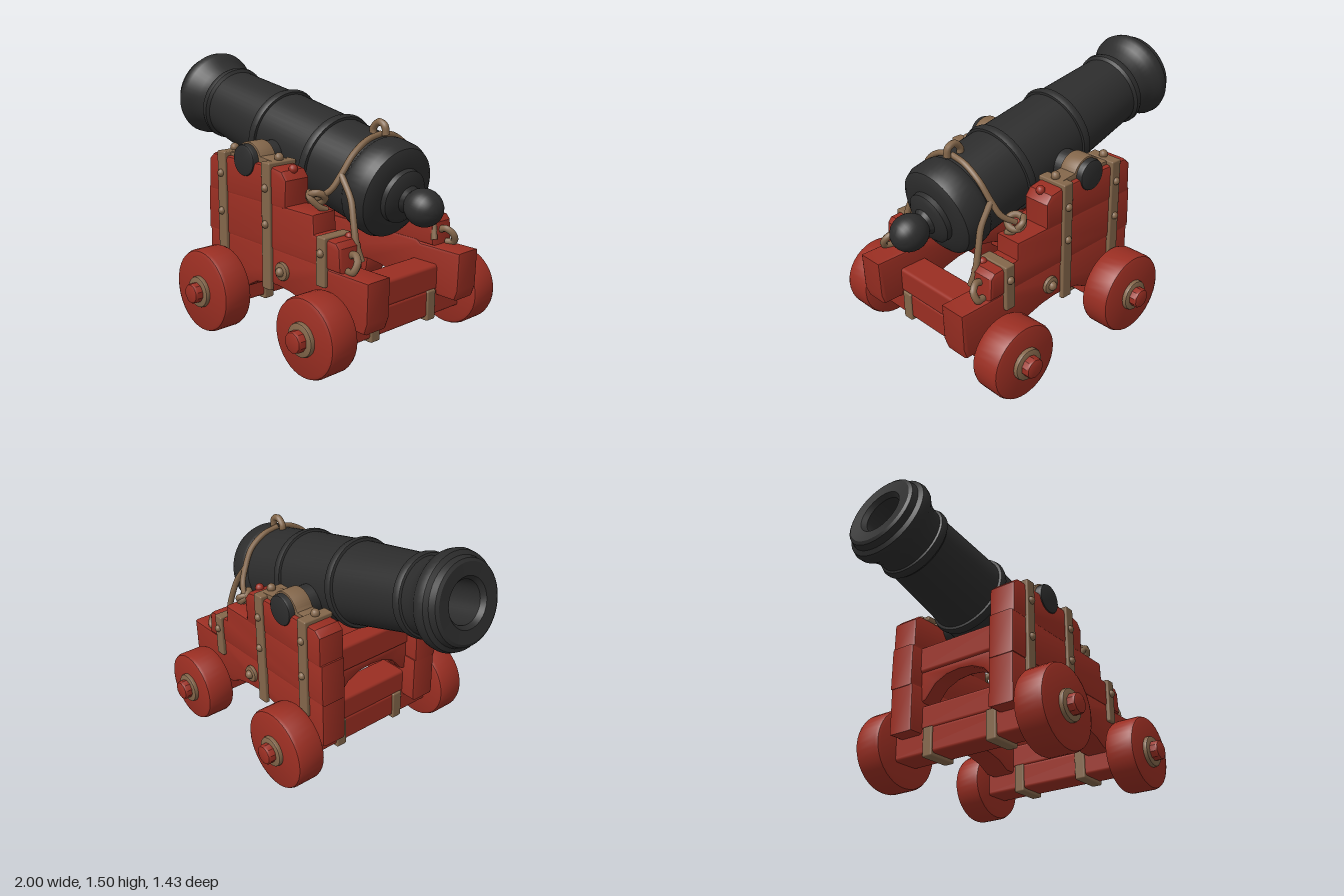
import * as THREE from 'three';
import { toCreasedNormals } from 'three/addons/utils/BufferGeometryUtils.js';
import { RoundedBoxGeometry } from 'three/addons/geometries/RoundedBoxGeometry.js';

const V = (x, y, z) => new THREE.Vector3(x, y, z);

export function createModel() {
  const root = new THREE.Group();
  root.name = 'cannon';
  const iron = new THREE.MeshStandardMaterial({ name: 'black iron', color: 0x2c2c2c });
  const wood = new THREE.MeshStandardMaterial({ name: 'red painted wood', color: 0x9a2e22 });
  const brass = new THREE.MeshStandardMaterial({ name: 'brown fittings and rope', color: 0x83664a });

  const add = (name, geo, mat, x = 0, y = 0, z = 0) => {
    const mesh = new THREE.Mesh(geo, mat);
    mesh.name = name;
    mesh.position.set(x, y, z);
    root.add(mesh);
    return mesh;
  };
  // Box given by its limits, with softened edges
  const box = (name, mat, x0, x1, y0, y1, z0, z1, r = 0.018) => {
    const size = [x1 - x0, y1 - y0, Math.abs(z1 - z0)];
    const geo = new RoundedBoxGeometry(...size, 2, Math.min(r, Math.min(...size) * 0.45));
    return add(name, geo, mat, (x0 + x1) / 2, (y0 + y1) / 2, (z0 + z1) / 2);
  };
  const lathe = (pts, seg = 40) =>
    toCreasedNormals(new THREE.LatheGeometry(pts.map(p => new THREE.Vector2(...p)), seg), 0.6);
  // Disc along z with chamfered rims
  const disc = (name, mat, r, depth, x, y, z, c = 0.02, seg = 32) => {
    const h = depth / 2;
    const geo = lathe([[0, -h], [r - c, -h], [r - c * 0.3, -h + c * 0.3], [r, -h + c],
      [r, h - c], [r - c * 0.3, h - c * 0.3], [r - c, h], [0, h]], seg);
    geo.rotateX(Math.PI / 2);
    return add(name, geo, mat, x, y, z);
  };
  // Outline in x and y, thickened along z about its centre
  const slab = (name, mat, shape, depth, z, bevel = 0.018) => {
    const geo = new THREE.ExtrudeGeometry(shape, {
      depth: depth - 2 * bevel, bevelEnabled: true, bevelThickness: bevel, bevelSize: bevel,
      bevelOffset: -bevel, bevelSegments: 2, curveSegments: 20 });
    geo.translate(0, 0, -depth / 2 + bevel);
    return add(name, toCreasedNormals(geo, 0.6), mat, 0, 0, z);
  };
  const outline = pts => new THREE.Shape(pts.map(p => new THREE.Vector2(...p)));
  const rope = (name, pts, r = 0.017) =>
    add(name, new THREE.TubeGeometry(new THREE.CatmullRomCurve3(pts), 36, r, 8), brass);
  const rivet = (name, mat, x, y, z, r = 0.023) =>
    add(name, new THREE.SphereGeometry(r, 12, 8), mat, x, y, z);

  // Barrel, turned about its own axis: [radius, distance along axis]
  const profile = [[0, -0.6], [0.115, -0.6], [0.115, -0.955], [0.135, -0.98], [0.205, -0.985],
    [0.222, -0.975], [0.232, -0.94], [0.255, -0.925], [0.264, -0.895], [0.258, -0.865],
    [0.235, -0.835], [0.215, -0.79], [0.208, -0.73], [0.22, -0.725], [0.228, -0.705],
    [0.226, -0.685], [0.21, -0.67], [0.234, -0.225], [0.25, -0.222], [0.257, -0.2],
    [0.25, -0.175], [0.237, -0.172], [0.248, 0.23], [0.261, 0.233], [0.267, 0.255],
    [0.261, 0.28], [0.247, 0.283], [0.25, 0.57], [0.262, 0.585], [0.266, 0.61],
    [0.266, 0.69], [0.25, 0.73], [0.215, 0.752], [0.15, 0.757], [0.147, 0.785],
    [0.125, 0.8], [0.075, 0.81], [0.06, 0.83]];
  for (let i = 1; i <= 10; i++) {
    const a = -0.9 + (i / 10) * (Math.PI / 2 + 0.9);
    profile.push([Math.max(0, 0.1 * Math.cos(a)), 0.915 + 0.107 * Math.sin(a)]);
  }
  const tilt = Math.atan(0.2375);
  const barrel = add('barrel', lathe(profile, 48), iron, 0, 1.045, 0);
  barrel.rotation.z = -Math.PI / 2 - tilt;
  disc('trunnions', iron, 0.09, 0.9, -0.02, 1.0, 0, 0.015);

  // Rope ring on top of the barrel
  rope('barrelTopLoop', [V(0.53, 1.16, 0), V(0.53, 1.2, 0), V(0.57, 1.235, 0),
    V(0.61, 1.22, 0), V(0.62, 1.17, 0)], 0.02);

  // Axles, cross beams and the arched front transom
  for (const [x, name] of [[-0.18, 'front'], [0.685, 'rear']]) {
    box(name + 'Axle', wood, x - 0.09, x + 0.09, 0.15, 0.305, -0.48, 0.48);
    box(name + 'Crossbeam', wood, x - 0.09, x + 0.09, 0.295, 0.44, -0.29, 0.29);
    for (const s of [1, -1])
      box(name + 'AxleStrap', brass, x - 0.1, x + 0.1, 0.13, 0.305, s * 0.187, s * 0.256, 0.01);
  }
  const arch = outline([[-0.29, 0.45], [-0.24, 0.47], [-0.17, 0.55], [-0.09, 0.585], [0, 0.595],
    [0.09, 0.585], [0.17, 0.55], [0.24, 0.47], [0.29, 0.45], [0.29, 0.65], [-0.29, 0.65]]);
  const transom = slab('archedTransom', wood, arch, 0.12, 0);
  transom.rotation.y = Math.PI / 2;
  transom.position.x = -0.22;
  box('upperTransom', wood, -0.29, -0.17, 0.64, 0.8, -0.29, 0.29);

  for (const s of [1, -1]) {
    const side = s > 0 ? 'left' : 'right';
    const out = s * 0.44;

    // Stepped cheek made of three planks
    slab(side + 'CheekLower', wood, outline([[-0.365, 0.27], [-0.02, 0.27], [0.06, 0.315],
      [0.16, 0.335], [0.25, 0.34], [0.35, 0.33], [0.45, 0.305], [0.53, 0.26], [0.9, 0.26],
      [0.92, 0.32], [0.925, 0.535], [0.65, 0.535], [0.62, 0.555], [-0.365, 0.555]]), 0.165, s * 0.35);
    slab(side + 'CheekMiddle', wood, outline([[-0.37, 0.545], [0.735, 0.535], [0.725, 0.66],
      [0.7, 0.69], [0.54, 0.7], [0.535, 0.8], [-0.365, 0.8]]), 0.165, s * 0.355);
    slab(side + 'CheekUpper', wood, outline([[-0.355, 0.785], [0.32, 0.785], [0.325, 0.94],
      [0.29, 0.985], [0.2, 1.0], [-0.31, 1.0], [-0.35, 0.965]]), 0.17, s * 0.355);

    // Iron straps down the cheek and over its top
    for (const [x0, x1, y0, y1] of [[-0.25, -0.18, 0.42, 1.025], [0.14, 0.21, 0.31, 1.02],
      [0.575, 0.64, 0.44, 0.705]]) {
      box(side + 'Strap', brass, x0, x1, y0, y1, s * 0.425, s * 0.455, 0.008);
      box(side + 'StrapTop', brass, x0, x1, y1 - 0.03, y1, s * 0.262, s * 0.455, 0.008);
    }
    for (const [x, y] of [[-0.215, 0.9], [-0.215, 0.68], [0.175, 0.88], [0.175, 0.68], [0.61, 0.62]])
      rivet(side + 'StrapRivet', brass, x, y, s * 0.453);
    rivet(side + 'CapBoltFront', brass, -0.215, 1.035, s * 0.355, 0.026);
    rivet(side + 'CapBoltRear', brass, 0.175, 1.035, s * 0.355, 0.026);
    rivet(side + 'CheekBolt', wood, 0.29, 0.99, s * 0.355, 0.026);
    rivet(side + 'StepBolt', wood, 0.66, 0.69, s * 0.3, 0.024);

    // Trunnion cap with flanges
    const cap = new THREE.Shape();
    cap.moveTo(-0.23, 0.99);
    cap.lineTo(-0.23, 1.02);
    cap.lineTo(-0.13, 1.02);
    cap.absarc(-0.02, 0.992, 0.108, Math.PI * 0.88, Math.PI * 0.12, true);
    cap.lineTo(0.2, 1.02);
    cap.lineTo(0.2, 0.99);
    slab(side + 'TrunnionCap', brass, cap, 0.11, s * 0.355, 0.006);

    // Round bolt plate on the lower plank
    disc(side + 'BoltPlate', brass, 0.052, 0.03, 0.295, 0.44, out, 0.012, 16);
    rivet(side + 'BoltHead', brass, 0.295, 0.44, s * 0.455, 0.027);

    // Wheels with washers and axle pins
    for (const [name, x, y, r] of [['Front', -0.18, 0.247, 0.238], ['Rear', 0.685, 0.235, 0.215]]) {
      disc(side + name + 'Wheel', wood, r, 0.182, x, y, s * 0.552, 0.024, 36);
      disc(side + name + 'Washer', brass, 0.09, 0.035, x, y, s * 0.65, 0.01, 24);
      disc(side + name + 'AxlePin', wood, 0.058, 0.1, x, y, s * 0.665, 0.014, 10);
    }

    // Lashing over the barrel down to a knot on the cheek
    rope(side + 'Lashing', [V(0.585, 1.175, 0), V(0.585, 1.155, s * 0.1), V(0.58, 1.09, s * 0.2),
      V(0.56, 0.99, s * 0.265), V(0.53, 0.91, s * 0.31), V(0.46, 0.86, s * 0.345)]);
    const knot = add(side + 'LashingKnot', new THREE.TorusGeometry(0.042, 0.02, 8, 18), brass,
      0.465, 0.865, s * 0.345);
    knot.rotation.set(0.9, s * 0.5, 0);
    rope(side + 'KnotTail', [V(0.42, 0.89, s * 0.36), V(0.46, 0.87, s * 0.39),
      V(0.49, 0.82, s * 0.35), V(0.5, 0.8, s * 0.31)], 0.018);

    // Rope hanging behind the breech to the rear ring
    rope(side + 'BreechRope', [V(0.56, 0.99, s * 0.265), V(0.64, 0.88, s * 0.275),
      V(0.68, 0.77, s * 0.292), V(0.71, 0.66, s * 0.3), V(0.735, 0.57, s * 0.285)], 0.018);
    rope(side + 'RearRing', [V(0.71, 0.61, s * 0.35), V(0.76, 0.625, s * 0.355),
      V(0.795, 0.595, s * 0.375), V(0.785, 0.55, s * 0.395), V(0.74, 0.54, s * 0.385)], 0.02);
  }
  return root;
}
